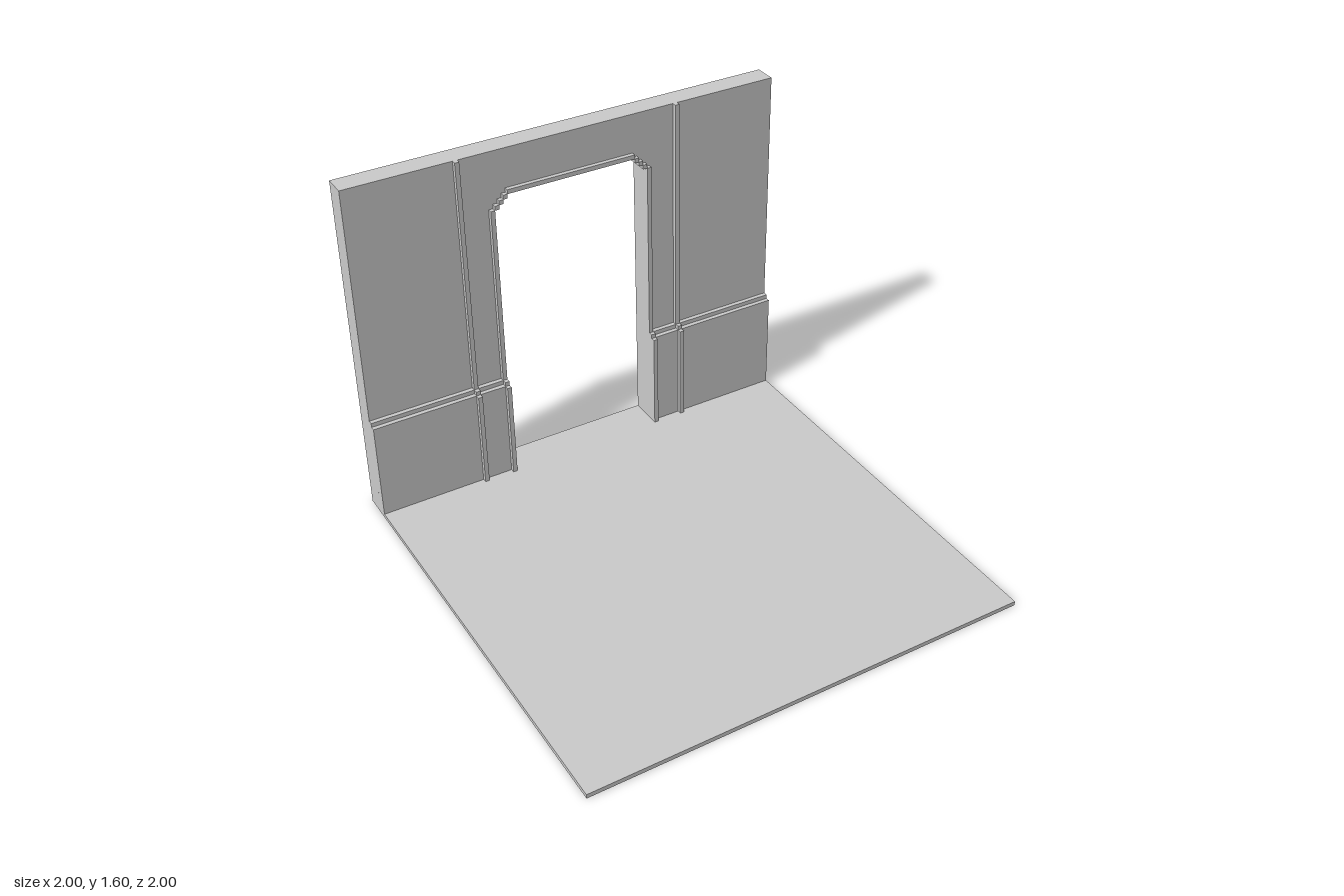
import * as THREE from 'three';

const U = 0.02; // step size shared by floor thickness, trims and arch steps
const FACE = -0.9; // front plane of the wall

export function createModel() {
  const group = new THREE.Group();
  const material = new THREE.MeshStandardMaterial({ color: 0xcccccc, flatShading: true });

  const add = (name, geometry) => {
    const mesh = new THREE.Mesh(geometry, material);
    mesh.name = name;
    group.add(mesh);
  };
  const shapeOf = (points) => new THREE.Shape(points.map(([x, y]) => new THREE.Vector2(x, y)));
  const box = (name, x0, x1, y0, y1, z0, z1) => add(name, new THREE.BoxGeometry(x1 - x0, y1 - y0, z1 - z0)
    .translate((x0 + x1) / 2, (y0 + y1) / 2, (z0 + z1) / 2));

  // Extrudes a (z, y) profile sideways from x0 to x1
  const sweepX = (name, profile, x0, x1) => add(name,
    new THREE.ExtrudeGeometry(shapeOf(profile), { depth: x1 - x0, bevelEnabled: false })
      .rotateY(-Math.PI / 2).translate(x1, 0, 0));

  // Floor slab
  box('floor', -1, 1, 0, U, -1, 1);

  // Wall with a doorway whose upper corners are stepped
  const half = [[0.36, U]];
  for (let i = 0; i < 4; i++) {
    const x = 0.36 - i * U, y = 1.34 + i * U;
    half.push([x, y]);
    if (i < 3) half.push([x - U, y]);
  }
  const mirrored = half.map(([x, y]) => [-x, y]).reverse();
  const outline = [[1, U], [1, 1.6], [-1, 1.6], [-1, U], ...mirrored.reverse(), ...half.slice().reverse()];
  add('wall', new THREE.ExtrudeGeometry(shapeOf(outline), { depth: 0.1, bevelEnabled: false })
    .translate(0, 0, -1));

  // Lower panelling with a stepped top ledge
  const panel = [[FACE, U], [FACE + 2 * U, U], [FACE + 2 * U, 0.48],
    [FACE + U, 0.48], [FACE + U, 0.5], [FACE, 0.5]];
  // Vertical strip that stands one step proud of the wall and panelling
  const strip = (top) => [[FACE, U], [FACE + 3 * U, U], [FACE + 3 * U, 0.48], [FACE + 2 * U, 0.48],
    [FACE + 2 * U, 0.5], [FACE + U, 0.5], [FACE + U, top], [FACE, top]];

  for (const [side, s] of [['left', 1], ['right', -1]]) {
    const sweep = (name, profile, a, b) =>
      sweepX(side + name, profile, Math.min(s * a, s * b), Math.max(s * a, s * b));
    sweep('InnerPanel', panel, 0.38, 0.5);
    sweep('OuterPanel', panel, 0.52, 1);
    sweep('WallStrip', strip(1.6), 0.5, 0.52);
    sweep('DoorFrame', strip(1.34), 0.36, 0.38);

    // Stepped corner of the door frame
    for (let i = 0; i < 3; i++) {
      const a = s * (0.34 - i * U), b = s * (0.36 - i * U), y = 1.34 + i * U;
      box(side + 'FrameStep' + (i + 1), Math.min(a, b), Math.max(a, b), y, y + U, FACE, FACE + U);
    }
  }

  // Top of the door frame
  box('doorFrameTop', -0.3, 0.3, 1.4, 1.42, FACE, FACE + U);

  return group;
}
